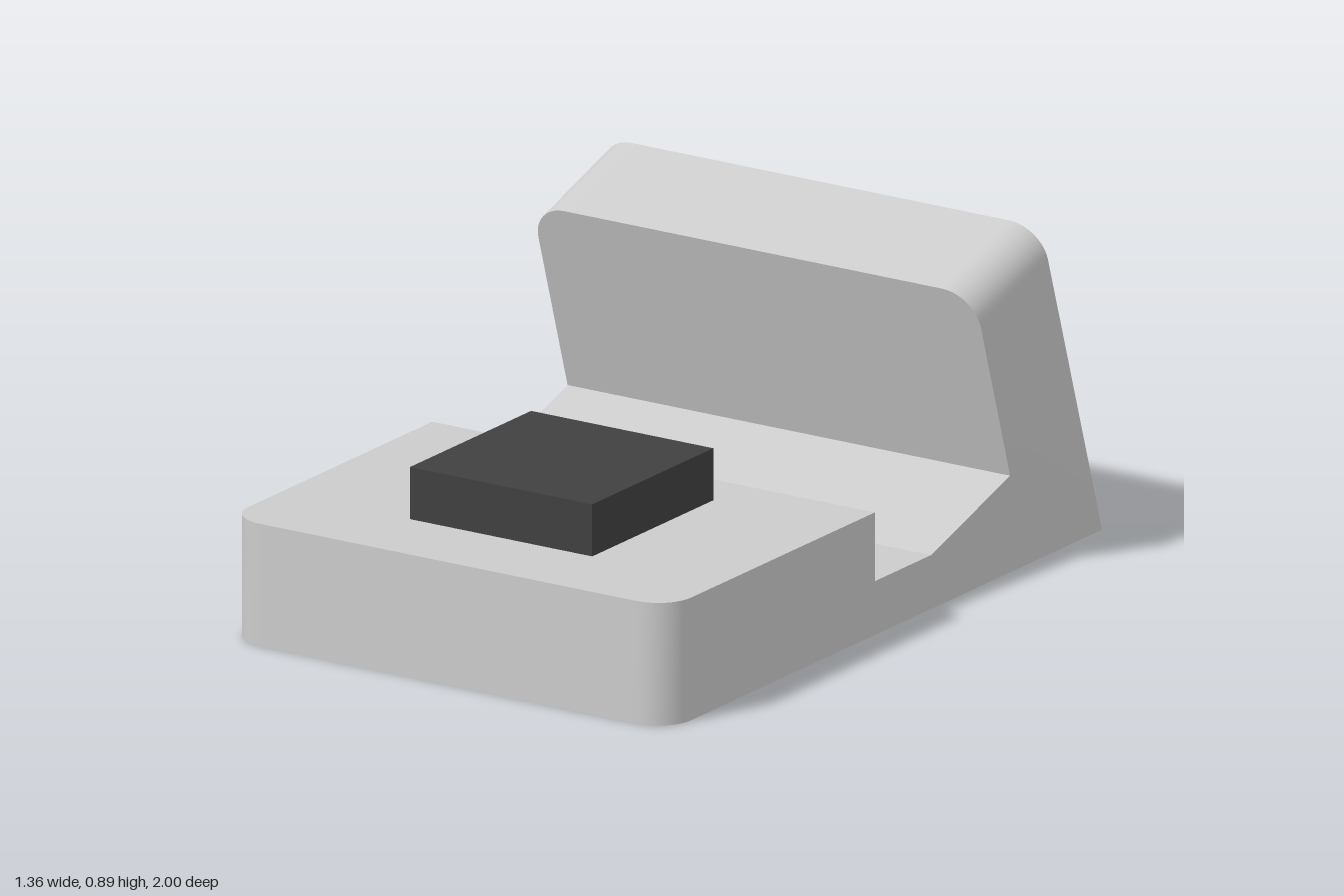
import * as THREE from 'three';
import { toCreasedNormals } from 'three/addons/utils/BufferGeometryUtils.js';

const HALF = 0.68;      // half width of the body
const RADIUS = 0.1;     // rounding of the front and top corners
const NOTCH = 0.525;    // half width of the notch under the back
const UP = [0.3, 0.954]; // direction up the leaning back, as (z, y)

// Side outline as (z, y); cut shortens the front and the top of the back.
function outline(cut, notched) {
  const dz = cut * UP[0], dy = cut * UP[1];
  return [
    [1 - cut, 0], [1 - cut, 0.33], [0.05, 0.33], [0.05, 0.145], [-0.21, 0.145],
    [-0.575, 0.26], [-0.41 - dz, 0.79 - dy], [-0.72 - dz, 0.89 - dy],
    notched ? [-0.932, 0.215] : [-1, 0], [-0.22, 0],
  ];
}

function bodyGeometry() {
  // Outlines across the width, from the middle out, then mirrored.
  const side = [[NOTCH, true], [NOTCH, false]].map(([x, n]) => ({ x, ring: outline(0, n) }));
  const steps = 10;
  for (let i = 0; i <= steps; i++) {
    const a = (i / steps) * Math.PI / 2;
    side.push({ x: HALF - RADIUS + RADIUS * Math.sin(a), ring: outline(RADIUS * (1 - Math.cos(a)), false) });
  }
  const stations = [...side.map(s => ({ x: -s.x, ring: s.ring })).reverse(), ...side];

  const positions = [];
  const tri = (a, b, c) => {
    const area = b.clone().sub(a).cross(c.clone().sub(a)).length();
    if (area > 1e-7) for (const p of [a, b, c]) positions.push(p.x, p.y, p.z);
  };
  const at = (s, i) => new THREE.Vector3(s.x, s.ring[i][1], s.ring[i][0]);

  // Skin between neighbouring outlines
  const n = stations[0].ring.length;
  for (let k = 0; k < stations.length - 1; k++) {
    const s = stations[k], t = stations[k + 1];
    for (let i = 0; i < n; i++) {
      const j = (i + 1) % n;
      tri(at(s, i), at(t, i), at(t, j));
      tri(at(s, i), at(t, j), at(s, j));
    }
  }

  // Flat sides
  const end = stations[stations.length - 1], start = stations[0];
  const contour = end.ring.map(([z, y]) => new THREE.Vector2(z, y));
  for (const f of THREE.ShapeUtils.triangulateShape(contour, [])) {
    const ccw = THREE.ShapeUtils.area(f.map(i => contour[i])) > 0;
    const [a, b, c] = ccw ? f : [f[0], f[2], f[1]];
    tri(at(start, a), at(start, b), at(start, c));
    tri(at(end, a), at(end, c), at(end, b));
  }

  const geometry = new THREE.BufferGeometry();
  geometry.setAttribute('position', new THREE.Float32BufferAttribute(positions, 3));
  return toCreasedNormals(geometry, THREE.MathUtils.degToRad(14));
}

export function createModel() {
  const group = new THREE.Group();
  group.name = 'stand';

  // Base with stepped trough and leaning back
  const body = new THREE.Mesh(bodyGeometry(), new THREE.MeshStandardMaterial({ color: 0xcccccc }));
  body.name = 'body';
  group.add(body);

  // Dark square block on the front deck
  const block = new THREE.Mesh(
    new THREE.BoxGeometry(0.56, 0.14, 0.56),
    new THREE.MeshStandardMaterial({ color: 0x404040 }));
  block.name = 'deckBlock';
  block.position.set(0, 0.4, 0.475);
  group.add(block);

  return group;
}
